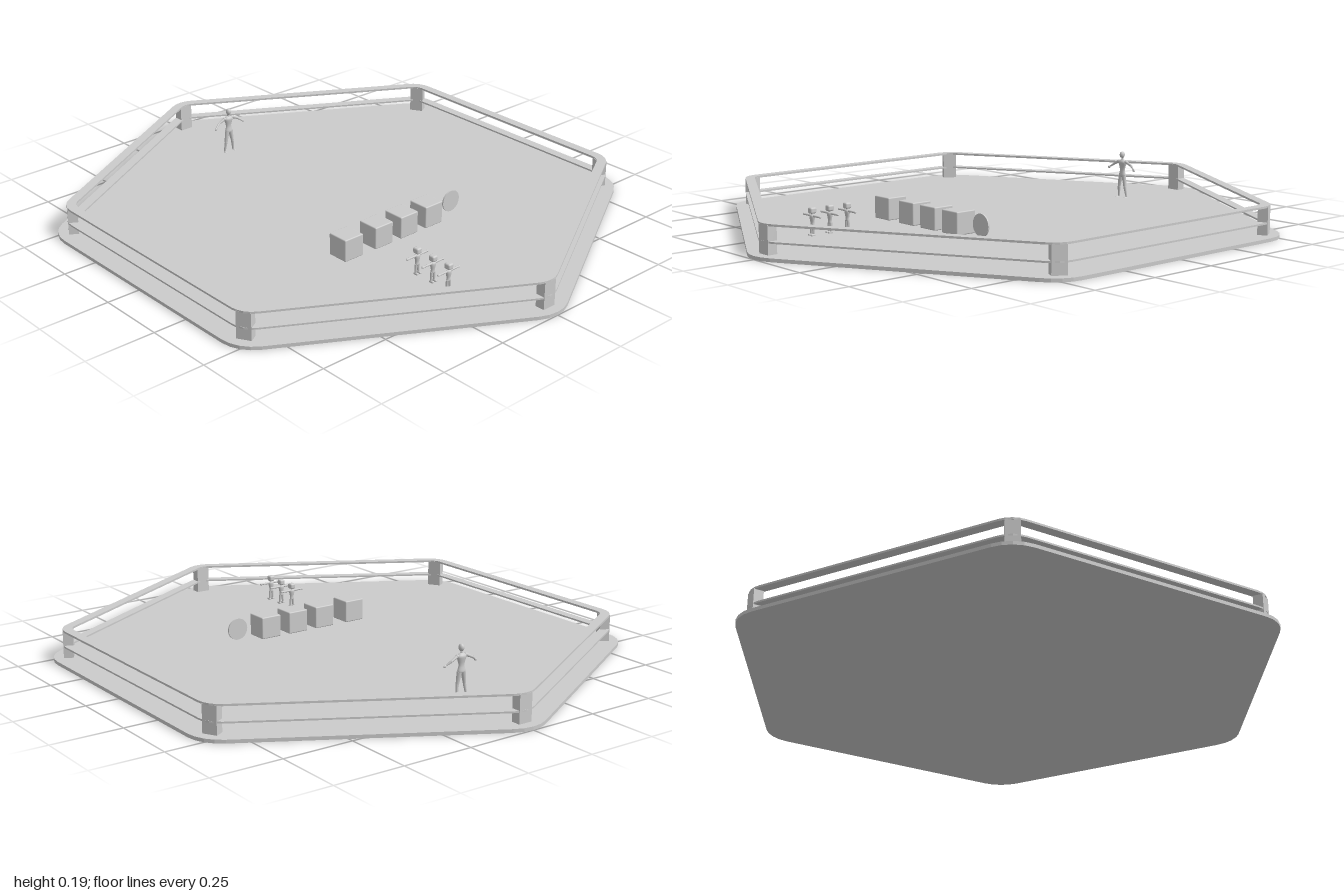
import * as THREE from 'three';
import { RoundedBoxGeometry } from 'three/addons/geometries/RoundedBoxGeometry.js';

const grey = new THREE.MeshStandardMaterial({ color: 0xcccccc });
const FLOOR = 0.012;

function add(parent, name, geometry, x = 0, y = 0, z = 0) {
  const mesh = new THREE.Mesh(geometry, grey);
  mesh.name = name;
  mesh.position.set(x, y, z);
  parent.add(mesh);
  return mesh;
}

// Outline of a pointy-ended hexagon with rounded corners
function hexPoints(apothem, radius, steps = 4) {
  const points = [];
  const centre = (apothem - radius) / Math.cos(Math.PI / 6);
  for (let i = 0; i < 6; i++) {
    const a = Math.PI / 2 + i * Math.PI / 3;
    for (let s = 0; s <= steps; s++) {
      const b = a + (s / steps - 0.5) * Math.PI / 3;
      points.push(new THREE.Vector2(
        centre * Math.cos(a) + radius * Math.cos(b),
        centre * Math.sin(a) + radius * Math.sin(b)));
    }
  }
  return points;
}

// Horizontal slab from an outline, standing on y = 0
function slab(shape, height) {
  return new THREE.ExtrudeGeometry(shape, { depth: height, bevelEnabled: false }).rotateX(-Math.PI / 2);
}

// Tapered limb between two points
function limb(parent, name, from, to, r1, r2) {
  const a = new THREE.Vector3(...from), b = new THREE.Vector3(...to);
  const dir = b.clone().sub(a);
  const mesh = add(parent, name, new THREE.CylinderGeometry(r2, r1, dir.length(), 10));
  mesh.position.copy(a).addScaledVector(dir, 0.5);
  mesh.quaternion.setFromUnitVectors(new THREE.Vector3(0, 1, 0), dir.normalize());
  return mesh;
}

function ball(parent, name, x, y, z, sx, sy, sz) {
  const mesh = add(parent, name, new THREE.SphereGeometry(1, 14, 10), x, y, z);
  mesh.scale.set(sx, sy, sz);
  return mesh;
}

// Rounded body from [radius, height] pairs, flattened front to back
function torso(parent, profile, depth) {
  const curve = new THREE.SplineCurve(profile.map(p => new THREE.Vector2(...p)));
  const mesh = add(parent, 'torso', new THREE.LatheGeometry(curve.getPoints(16), 16));
  mesh.scale.z = depth;
}

// Tall figure with lowered, spread arms
function tallFigure() {
  const g = new THREE.Group();
  g.name = 'tallFigure';
  torso(g, [[0, 0.088], [0.014, 0.092], [0.015, 0.1], [0.011, 0.117], [0.017, 0.138], [0.018, 0.148], [0.007, 0.156], [0, 0.157]], 0.62);
  limb(g, 'neck', [0, 0.152, 0], [0, 0.165, 0.001], 0.005, 0.004);
  ball(g, 'head', 0, 0.174, 0.002, 0.009, 0.0125, 0.0105);
  for (const s of [-1, 1]) {
    ball(g, 'shoulder', s * 0.018, 0.148, 0, 0.0065, 0.0065, 0.0065);
    limb(g, 'upperArm', [s * 0.018, 0.148, 0], [s * 0.043, 0.136, -0.002], 0.0058, 0.0042);
    ball(g, 'elbow', s * 0.043, 0.136, -0.002, 0.0042, 0.0042, 0.0042);
    limb(g, 'forearm', [s * 0.043, 0.136, -0.002], [s * 0.06, 0.124, 0.004], 0.0044, 0.0028);
    ball(g, 'hand', s * 0.064, 0.121, 0.006, 0.006, 0.0045, 0.0035).rotation.z = -s * 0.6;
    limb(g, 'thigh', [s * 0.008, 0.094, 0], [s * 0.015, 0.052, 0.001], 0.0088, 0.0055);
    ball(g, 'knee', s * 0.015, 0.052, 0.001, 0.0056, 0.0056, 0.0056);
    limb(g, 'shin', [s * 0.015, 0.052, 0.001], [s * 0.02, 0.014, -0.003], 0.0058, 0.0034);
    ball(g, 'foot', s * 0.021, 0.01, 0.003, 0.005, 0.005, 0.011);
  }
  return g;
}

// Small figure with arms held straight out
function smallFigure() {
  const g = new THREE.Group();
  g.name = 'smallFigure';
  torso(g, [[0, 0.043], [0.008, 0.045], [0.0075, 0.056], [0.011, 0.074], [0.009, 0.082], [0, 0.084]], 0.75);
  limb(g, 'neck', [0, 0.08, 0], [0, 0.09, 0], 0.0035, 0.0035);
  add(g, 'head', new RoundedBoxGeometry(0.022, 0.021, 0.024, 3, 0.006), 0, 0.097, 0);
  for (const s of [-1, 1]) {
    limb(g, 'arm', [s * 0.007, 0.079, 0], [s * 0.042, 0.079, 0], 0.0042, 0.0032);
    ball(g, 'hand', s * 0.045, 0.079, 0, 0.0055, 0.004, 0.0045);
    limb(g, 'leg', [s * 0.005, 0.047, 0], [s * 0.007, 0.014, 0], 0.005, 0.0036);
    add(g, 'foot', new RoundedBoxGeometry(0.009, 0.009, 0.018, 2, 0.003), s * 0.007, 0.014, 0.003);
  }
  return g;
}

export function createModel() {
  const model = new THREE.Group();
  model.name = 'arena';

  add(model, 'floor', slab(new THREE.Shape(hexPoints(0.883, 0.13)), FLOOR));

  // Two flat rails running round the arena
  const ring = new THREE.Shape(hexPoints(0.847, 0.085));
  ring.holes.push(new THREE.Path(hexPoints(0.813, 0.05).reverse()));
  add(model, 'middleRail', slab(ring, 0.006), 0, 0.05, 0);
  add(model, 'topRail', slab(ring, 0.007), 0, 0.105, 0);

  // A post at every corner
  for (let i = 0; i < 6; i++) {
    const a = i * Math.PI / 3;
    const post = add(model, 'post', new THREE.BoxGeometry(0.05, 0.108, 0.034),
      0.946 * Math.sin(a), 0.054, 0.946 * Math.cos(a));
    post.rotation.y = a;
  }

  // Row of crates ending in a thin upright disc
  for (const x of [-0.238, -0.102, 0.015, 0.132])
    add(model, 'crate', new RoundedBoxGeometry(0.08, 0.08, 0.08, 2, 0.004), x, FLOOR + 0.04, 0.278);
  add(model, 'disc', new THREE.CylinderGeometry(0.039, 0.039, 0.005, 32).rotateX(Math.PI / 2), 0.25, 0.055, 0.28);

  // Figures
  for (const z of [0.528, 0.6, 0.671]) {
    const figure = smallFigure();
    figure.position.set(-0.153, 0, z);
    model.add(figure);
  }
  const tall = tallFigure();
  tall.position.set(-0.006, 0, -0.65);
  model.add(tall);

  return model;
}
